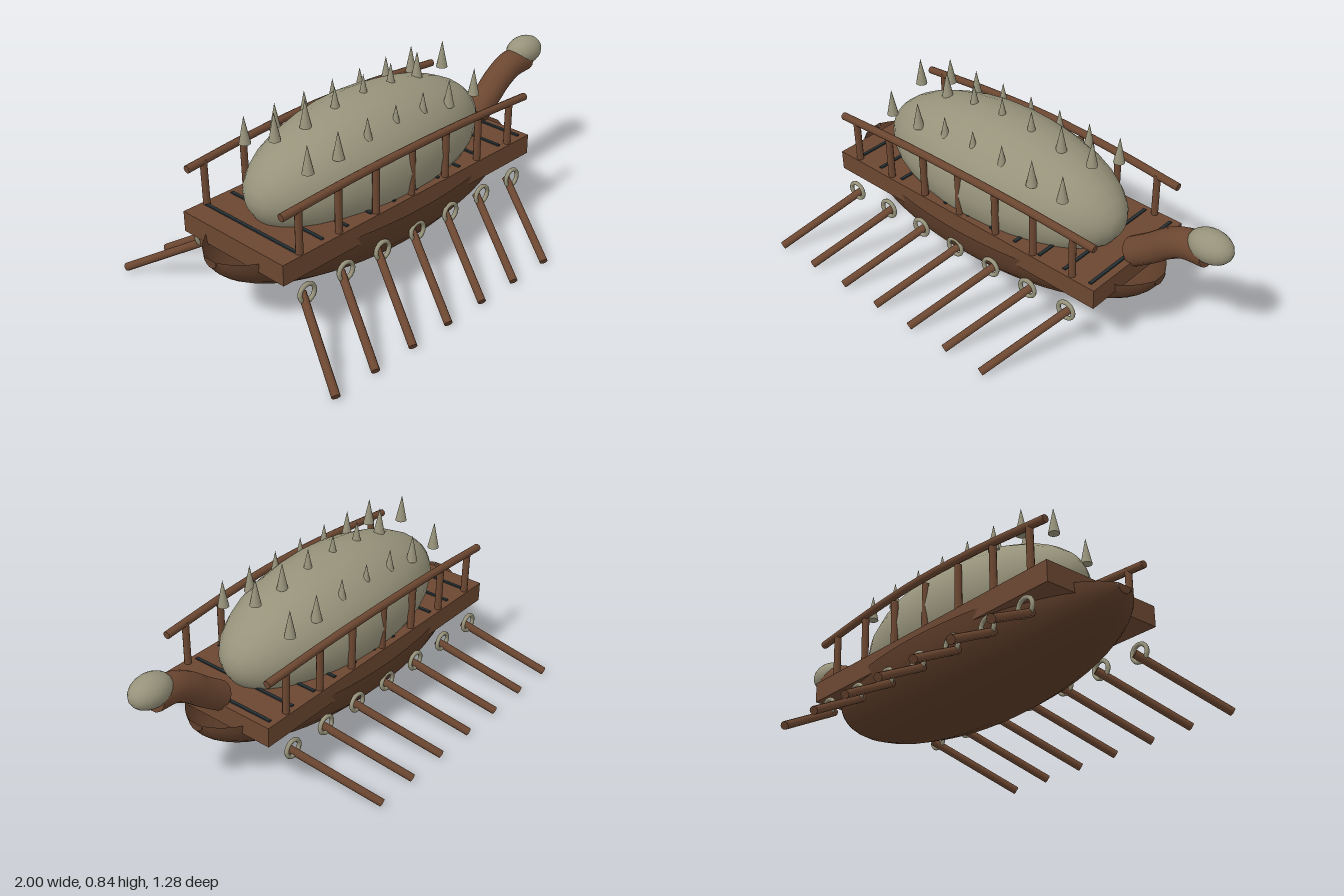
import * as THREE from 'three';

const V = (x, y, z) => new THREE.Vector3(x, y, z);

function material(name, color, side = THREE.FrontSide) {
  const m = new THREE.MeshStandardMaterial({ color, side });
  m.name = name;
  return m;
}

export function createModel() {
  const model = new THREE.Group();
  model.name = 'rowingShip';

  const wood = material('wood', 0x6c4731);
  const hullWood = material('darkWood', 0x5f3e2a, THREE.DoubleSide);
  const bone = material('bone', 0x97937b);
  const gap = material('darkGap', 0x263034);

  const add = (name, geometry, mat, x = 0, y = 0, z = 0) => {
    const mesh = new THREE.Mesh(geometry, mat);
    mesh.name = name;
    mesh.position.set(x, y, z);
    model.add(mesh);
    return mesh;
  };

  // Straight round rod between two points
  const rod = (name, a, b, r, mat, sides = 10) => {
    const d = b.clone().sub(a);
    const mesh = add(name, new THREE.CylinderGeometry(r, r, d.length(), sides), mat);
    mesh.position.copy(a).add(b).multiplyScalar(0.5);
    mesh.quaternion.setFromUnitVectors(V(0, 1, 0), d.normalize());
  };

  // Curved rod with closed ends
  const bentRod = (name, points, r, segments, sides) => {
    const curve = new THREE.CatmullRomCurve3(points);
    add(name, new THREE.TubeGeometry(curve, segments, r, sides), wood);
    for (const t of [0, 1]) {
      const cap = add(name + 'End', new THREE.CircleGeometry(r, sides), wood);
      cap.position.copy(curve.getPoint(t));
      const dir = curve.getTangent(t).multiplyScalar(t ? 1 : -1);
      cap.quaternion.setFromUnitVectors(V(0, 0, 1), dir);
    }
  };

  // Hull: half-round sections along x, blunt at both tips, open on top
  const rings = 32, sides = 12, position = [], index = [];
  for (let i = 0; i <= rings; i++) {
    const a = (i / rings) * Math.PI;
    const r = Math.max(Math.sin(a), 0.12);
    for (let j = 0; j <= sides; j++) {
      const b = (j / sides) * Math.PI;
      position.push(-0.16 - 0.84 * Math.cos(a), 0.35 - 0.28 * r * Math.sin(b), 0.32 * r * Math.cos(b));
      if (i < rings && j < sides) {
        const p = i * (sides + 1) + j, q = p + sides + 1;
        index.push(p, p + 1, q, q, p + 1, q + 1);
      }
    }
  }
  const hull = new THREE.BufferGeometry();
  hull.setAttribute('position', new THREE.Float32BufferAttribute(position, 3));
  hull.setIndex(index);
  hull.computeVertexNormals();
  add('hull', hull, hullWood);
  for (const s of [-1, 1]) {
    const tip = add('hullTip', new THREE.CircleGeometry(0.036, 12, Math.PI, Math.PI), hullWood,
      -0.16 + s * 0.84, 0.35, 0);
    tip.rotation.y = s * Math.PI / 2;
  }

  // Deck with dark gaps between the planks
  add('deck', new THREE.BoxGeometry(1.465, 0.09, 0.58), wood, -0.16, 0.355, 0);
  for (let i = 0; i < 11; i++) {
    add('plankGap', new THREE.BoxGeometry(0.014, 0.008, 0.53), gap, -0.797 + i * 0.133, 0.402, 0);
  }

  // Domed shell
  const shell = new THREE.SphereGeometry(1, 20, 16);
  shell.rotateZ(Math.PI / 2);
  shell.scale(0.63, 0.27, 0.285);
  add('shell', shell, bone, -0.155, 0.5, 0);

  // Three rows of spikes
  const spike = new THREE.ConeGeometry(0.025, 0.12, 12);
  for (let i = 0; i < 7; i++) {
    for (const z of [-0.18, 0, 0.18]) {
      add('spike', spike, bone, -0.651 + i * 0.161, z ? 0.71 : 0.785, z);
    }
  }

  // Railings, oar rings and oars on both sides
  const ring = new THREE.TorusGeometry(0.038, 0.0095, 8, 20);
  for (const s of [-1, 1]) {
    bentRod('rail', [V(-0.875, 0.587, s * 0.27), V(-0.52, 0.612, s * 0.28), V(-0.16, 0.622, s * 0.286),
      V(0.2, 0.612, s * 0.28), V(0.555, 0.587, s * 0.27)], 0.017, 16, 8);
    for (let i = 0; i < 7; i++) {
      const x = -0.79 + i * 0.206;
      rod('railPost', V(x, 0.39, s * 0.27), V(x, 0.6, s * 0.272), 0.0155, wood);
      add('oarRing', ring, bone, x, 0.24, s * 0.305);
      rod('oar', V(x, 0.228, s * 0.275), V(x - 0.172, 0.023, s * 0.628), 0.0175, wood);
    }
  }

  // Curved neck and rounded head at the bow
  bentRod('neck', [V(0.545, 0.413, 0), V(0.63, 0.475, 0), V(0.71, 0.54, 0), V(0.79, 0.58, 0),
    V(0.89, 0.59, 0)], 0.063, 20, 16);
  const head = new THREE.SphereGeometry(1, 20, 14);
  head.scale(0.099, 0.068, 0.07);
  add('head', head, bone, 0.897, 0.623, 0);

  return model;
}
